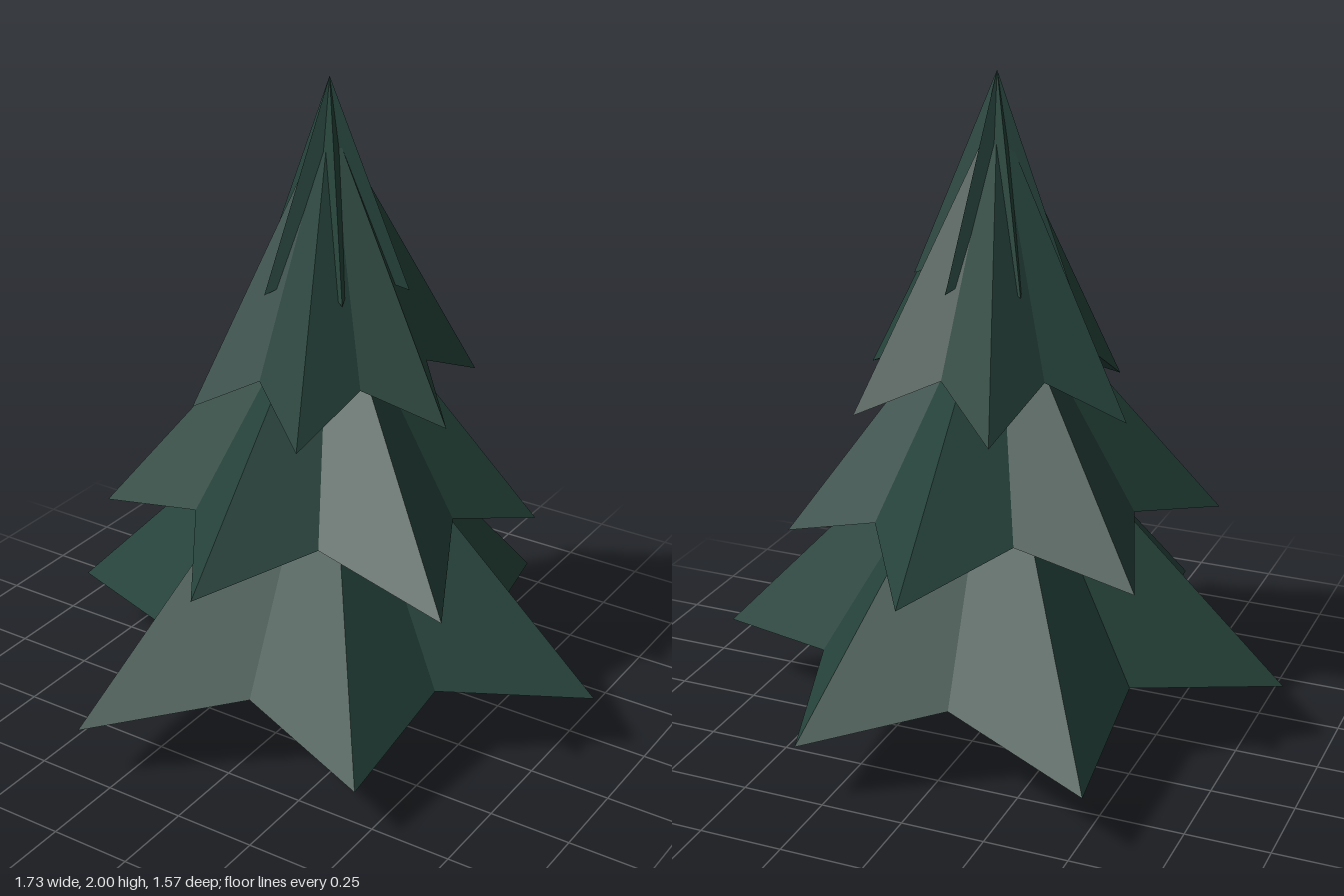
import * as THREE from 'three';

const CX = 0.003, CZ = -0.043; // trunk axis

const needles = new THREE.MeshStandardMaterial({ color: 0x26433b, flatShading: true });
needles.name = 'darkGreen';
const bark = new THREE.MeshStandardMaterial({ color: 0x3f3126, flatShading: true });
bark.name = 'barkBrown';

// Star-shaped skirt: ridges run from the apex to each tip, valleys to the notches between
function tier(name, { apex, under, notchR, notchY, tips }) {
  const rim = [];
  tips.forEach(([x, y, z], i) => {
    const [nx, , nz] = tips[(i + 1) % tips.length];
    const a = new THREE.Vector2(x - CX, z - CZ).normalize();
    const b = new THREE.Vector2(nx - CX, nz - CZ).normalize();
    const mid = a.add(b).setLength(notchR);
    rim.push([x, y, z], [CX + mid.x, notchY, CZ + mid.y]);
  });
  const top = [CX, apex, CZ], bottom = [CX, under, CZ];
  const pos = [];
  rim.forEach((p, i) => {
    const q = rim[(i + 1) % rim.length];
    pos.push(...top, ...q, ...p); // upper face
    pos.push(...bottom, ...p, ...q); // hollow underside
  });
  const geo = new THREE.BufferGeometry();
  geo.setAttribute('position', new THREE.Float32BufferAttribute(pos, 3));
  geo.computeVertexNormals();
  const mesh = new THREE.Mesh(geo, needles);
  mesh.name = name;
  return mesh;
}

export function createModel() {
  const tree = new THREE.Group();
  tree.name = 'pineTree';

  // Six-sided trunk: flared foot and straight stem
  const foot = new THREE.Mesh(new THREE.CylinderGeometry(0.075, 0.112, 0.125, 6, 1, false), bark);
  foot.name = 'trunkFoot';
  foot.position.set(CX, 0.0625, CZ);
  const stem = new THREE.Mesh(new THREE.CylinderGeometry(0.075, 0.075, 0.4, 6, 1, true), bark);
  stem.name = 'trunkStem';
  stem.position.set(CX, 0.325, CZ);
  for (const m of [foot, stem]) {
    m.rotation.y = Math.PI / 6;
    tree.add(m);
  }

  // Branch tiers, from the ground up
  tree.add(
    tier('bottomBranches', {
      apex: 1.12, under: 0.42, notchR: 0.54, notchY: 0.28,
      tips: [[0.863, 0.205, -0.163], [0.5, 0.185, 0.595], [-0.337, 0.185, 0.777],
        [-0.867, 0.205, 0.07], [-0.537, 0.2, -0.745], [0.31, 0.195, -0.79]],
    }),
    tier('middleBranches', {
      apex: 1.46, under: 0.84, notchR: 0.435, notchY: 0.745,
      tips: [[0.61, 0.63, 0.325], [-0.01, 0.66, 0.647], [-0.588, 0.655, 0.284],
        [-0.55, 0.645, -0.386], [0.016, 0.645, -0.73], [0.55, 0.64, -0.345]],
    }),
    tier('upperBranches', {
      apex: 1.89, under: 1.23, notchR: 0.29, notchY: 1.17,
      tips: [[0.445, 1.065, 0.033], [0.156, 1.045, 0.363], [-0.267, 1.045, 0.27],
        [-0.425, 1.04, -0.12], [-0.147, 1.045, -0.465], [0.3, 1.055, -0.395]],
    }),
    tier('topBranches', {
      apex: 2, under: 1.5, notchR: 0.115, notchY: 1.46,
      tips: [[0.244, 1.4, -0.09], [0.151, 1.4, 0.12], [-0.08, 1.4, 0.167],
        [-0.216, 1.4, -0.033], [-0.137, 1.4, -0.21], [0.072, 1.4, -0.256]],
    }),
  );
  return tree;
}
